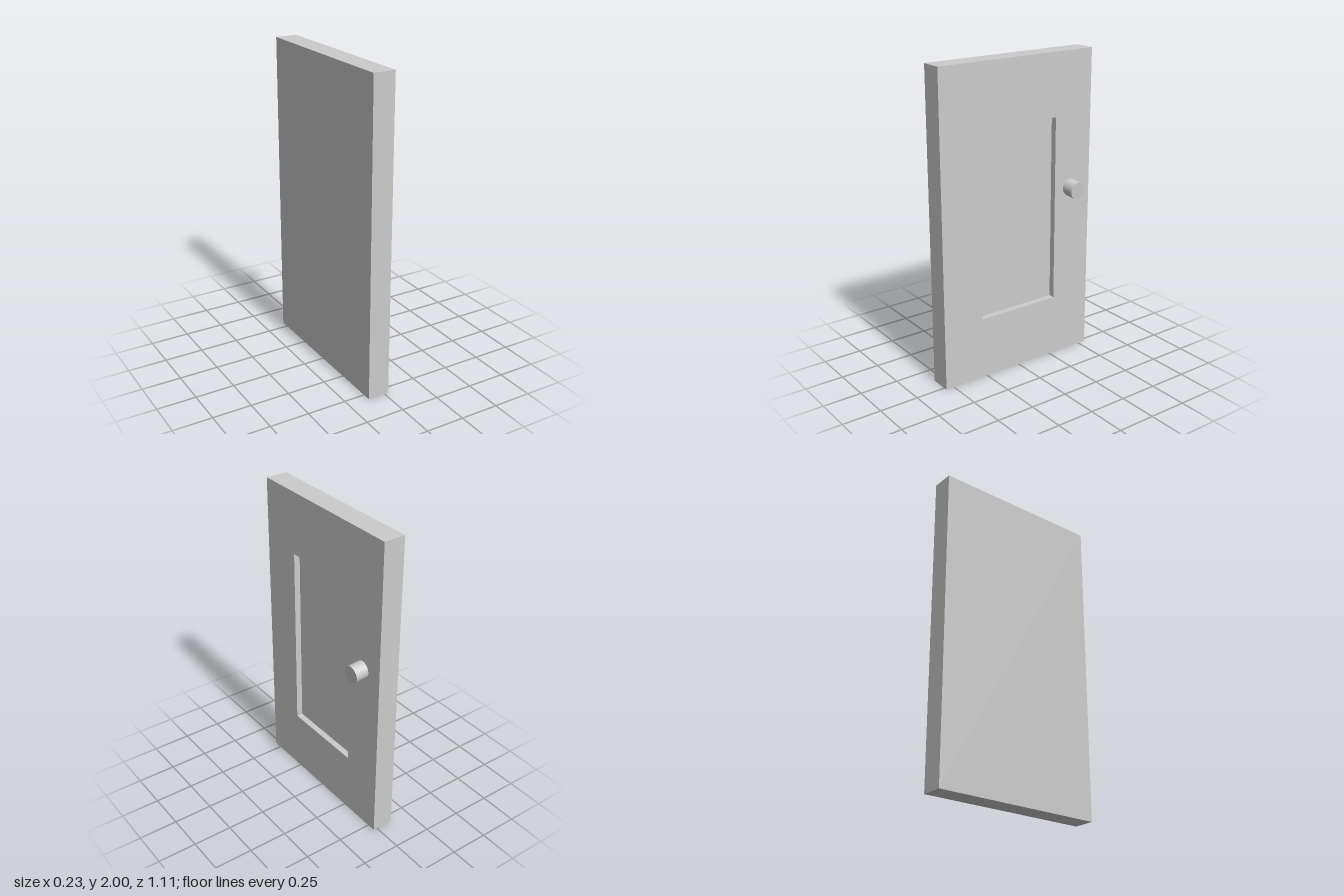
import * as THREE from 'three';
import { mergeGeometries } from 'three/addons/utils/BufferGeometryUtils.js';

const HEIGHT = 2, WIDTH = 1.11, BACK = -0.113, FACE = 0.026;
const RECESS = { width: 0.56, height: 1.2, depth: 0.04 };

// Box between x0 and x1 without its +x side; inward turns its walls to face inside.
function openBox(x0, x1, height, width, inward = false) {
  const geo = new THREE.BoxGeometry(x1 - x0, height, width);
  geo.translate((x0 + x1) / 2, HEIGHT / 2, 0);
  const index = Array.from(geo.index.array).slice(6);
  geo.setIndex(inward ? index.reverse() : index);
  return geo.toNonIndexed();
}

function rectangle(PathType, width, height) {
  const w = width / 2, h = height / 2;
  return new PathType([[-w, -h], [w, -h], [w, h], [-w, h]].map(([x, y]) => new THREE.Vector2(x, y)));
}

export function createModel() {
  const group = new THREE.Group();
  group.name = 'door';
  const material = new THREE.MeshStandardMaterial({ color: 0xcccccc });

  // Door leaf: outer slab, face with a rectangular opening, recessed panel
  const face = rectangle(THREE.Shape, WIDTH, HEIGHT);
  face.holes.push(rectangle(THREE.Path, RECESS.width, RECESS.height));
  const faceGeo = new THREE.ShapeGeometry(face).toNonIndexed();
  faceGeo.rotateY(Math.PI / 2).translate(FACE, HEIGHT / 2, 0);
  const leafGeo = mergeGeometries([
    openBox(BACK, FACE, HEIGHT, WIDTH),
    faceGeo,
    openBox(FACE - RECESS.depth, FACE, RECESS.height, RECESS.width, true),
  ]);
  leafGeo.computeVertexNormals();
  const leaf = new THREE.Mesh(leafGeo, material);
  leaf.name = 'doorLeaf';
  group.add(leaf);

  // Round knob, drooping slightly, with its root sunk into the leaf
  const knobGeo = new THREE.CylinderGeometry(0.055, 0.055, 0.11, 32);
  const knob = new THREE.Mesh(knobGeo, material);
  knob.name = 'knob';
  knob.rotation.z = -Math.PI / 2 - 0.07;
  knob.position.set(0.054, 1.131, -0.4);
  group.add(knob);

  return group;
}
